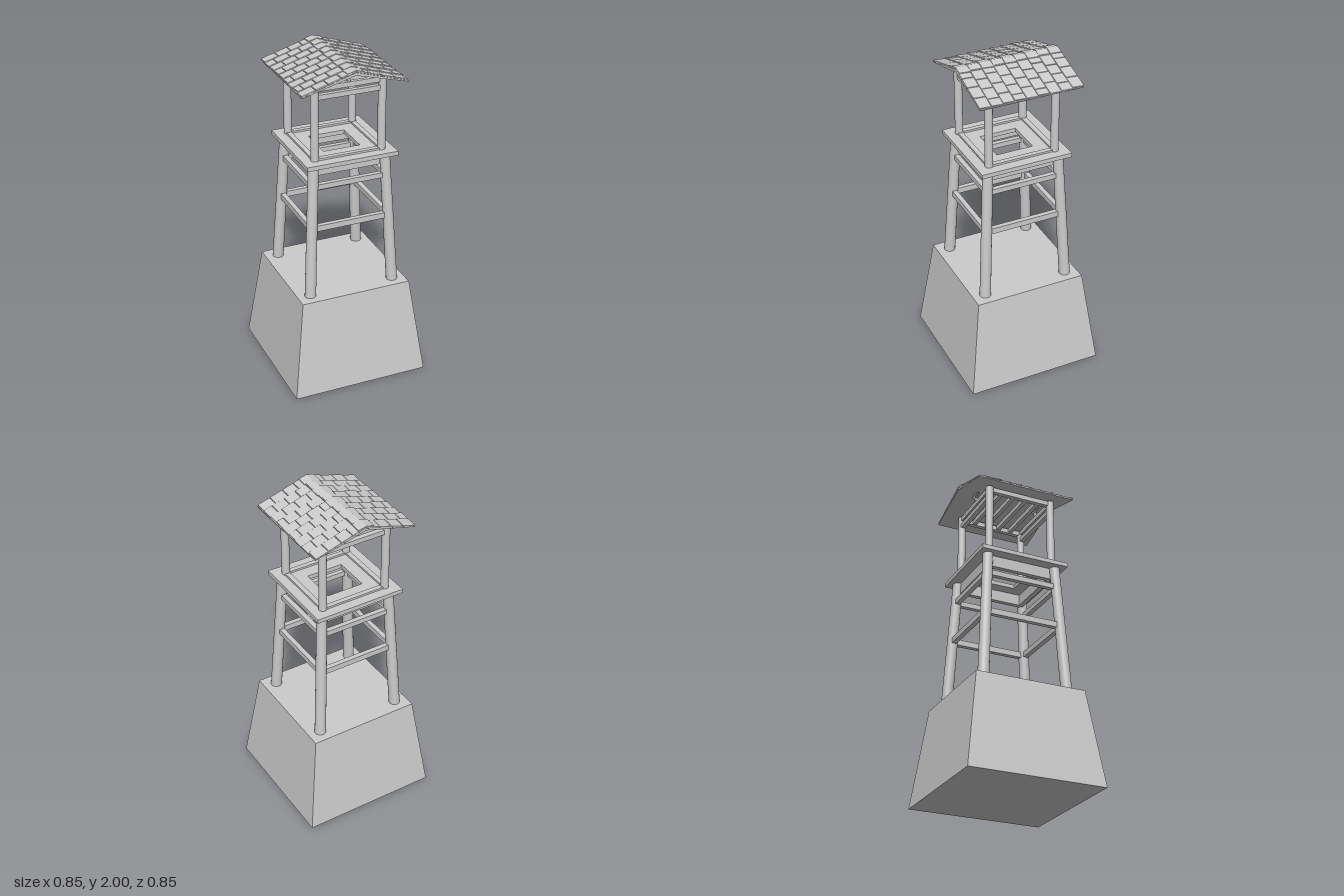
import * as THREE from 'three';
import { RoundedBoxGeometry } from 'three/addons/geometries/RoundedBoxGeometry.js';

const grey = new THREE.MeshStandardMaterial({ color: 0xcccccc });
const flat = new THREE.MeshStandardMaterial({ color: 0xcccccc, flatShading: true });

export function createModel() {
  const tower = new THREE.Group();
  tower.name = 'watchtower';

  const add = (name, geometry, x = 0, y = 0, z = 0, material = grey, parent = tower) => {
    const mesh = new THREE.Mesh(geometry, material);
    mesh.name = name;
    mesh.position.set(x, y, z);
    parent.add(mesh);
    return mesh;
  };
  const box = (name, w, h, d, x, y, z) => add(name, new THREE.BoxGeometry(w, h, d), x, y, z);

  // Round pole between two points
  const pole = (name, a, b, rBottom, rTop) => {
    const dir = b.clone().sub(a);
    const mid = a.clone().add(b).multiplyScalar(0.5);
    const mesh = add(name, new THREE.CylinderGeometry(rTop, rBottom, dir.length(), 18), mid.x, mid.y, mid.z);
    mesh.quaternion.setFromUnitVectors(new THREE.Vector3(0, 1, 0), dir.normalize());
  };

  // Four bars forming a square ring around the tower
  const ring = (name, half, y, h, t) => {
    for (const s of [-1, 1]) {
      box(name, 2 * half, h, t, 0, y, s * half);
      box(name, t, h, 2 * half, s * half, y, 0);
    }
  };

  // Tapered square plinth
  const plinth = new THREE.CylinderGeometry(0.345 * Math.SQRT2, 0.425 * Math.SQRT2, 0.6, 4);
  plinth.rotateY(Math.PI / 4);
  add('plinth', plinth, 0, 0.3, 0, flat);

  // Leaning legs and upright roof posts
  const lean = (y) => 0.266 - 0.043 * (y - 0.6) / 0.83;
  const post = 0.208;
  for (const sx of [-1, 1]) {
    for (const sz of [-1, 1]) {
      const at = (r, y) => new THREE.Vector3(sx * r, y, sz * r);
      pole('leg', at(lean(0.59), 0.59), at(lean(1.43), 1.43), 0.034, 0.031);
      pole('roofPost', at(post, 1.44), at(post, 1.9), 0.024, 0.024);
    }
  }
  ring('lowerRail', lean(1.035), 1.035, 0.036, 0.03);
  ring('upperRail', lean(1.295), 1.295, 0.032, 0.03);

  // Platform with a square hatch, carried by deep beams
  const square = (path, r) => path.moveTo(-r, -r).lineTo(r, -r).lineTo(r, r).lineTo(-r, r).closePath();
  const floorShape = square(new THREE.Shape(), 0.284);
  floorShape.holes.push(square(new THREE.Path(), 0.115));
  const floor = new THREE.ExtrudeGeometry(floorShape, { depth: 0.026, bevelEnabled: false });
  floor.rotateX(-Math.PI / 2);
  add('platform', floor, 0, 1.425, 0);
  ring('platformBeam', 0.2, 1.39, 0.07, 0.03);
  ring('platformSill', post, 1.456, 0.014, 0.03);

  // Roof frame: wall plates, tie beams and ceiling joists
  for (const s of [-1, 1]) {
    box('wallPlate', 0.028, 0.03, 2 * post, s * post, 1.882, 0);
    box('tieBeam', 2 * post, 0.03, 0.028, 0, 1.835, s * post);
    box('kingPost', 0.016, 0.085, 0.016, 0, 1.935, s * post);
    for (const k of [-1, 1]) {
      const brace = box('kingPostBrace', 0.055, 0.01, 0.014, k * 0.024, 1.952, s * post);
      brace.rotation.z = k * 0.6;
    }
  }
  for (let i = 0; i < 6; i++) {
    box('ceilingJoist', 2 * post, 0.03, 0.024, 0, 1.885, -post + i * (2 * post / 5));
  }

  // Roof: thin tapering gable shell
  const roof = new THREE.Group();
  roof.name = 'roof';
  tower.add(roof);
  const eaveX = 0.322, ridgeY = 1.987, eaveY = 1.89, zBack = -0.325, length = 0.635;
  const chevron = (halfW, top, drop, thick, depth) => {
    const s = new THREE.Shape();
    s.moveTo(-halfW, top - drop).lineTo(0, top).lineTo(halfW, top - drop);
    s.lineTo(halfW, top - drop - 0.006).lineTo(0, top - thick).lineTo(-halfW, top - drop - 0.006).closePath();
    return new THREE.ExtrudeGeometry(s, { depth, bevelEnabled: false });
  };
  add('roofShell', chevron(eaveX, ridgeY, ridgeY - eaveY, 0.018, length), 0, 0, zBack, grey, roof);

  // Tiles in staggered courses, each lifted along its front edge
  let seed = 7;
  const jitter = () => {
    seed = (seed * 16807) % 2147483647;
    return seed / 2147483647 - 0.5;
  };
  const rows = 9, rowDepth = length / rows;
  const slope = Math.atan2(ridgeY - eaveY, eaveX);
  const slopeLength = Math.hypot(eaveX, ridgeY - eaveY);
  for (const side of [-1, 1]) {
    const plane = new THREE.Group();
    plane.name = 'tiledSlope';
    plane.position.set(0, ridgeY, 0);
    plane.rotation.set(0, side > 0 ? 0 : Math.PI, -side * slope);
    // Mirrored slope: turn about y first, then pitch down
    if (side < 0) plane.rotation.set(0, Math.PI, -slope, 'YXZ');
    roof.add(plane);
    for (let r = 0; r < rows; r++) {
      const z = zBack + (r + 0.5) * rowDepth;
      let start = 0;
      let end = r % 2 ? 0.045 : 0.09;
      while (start < slopeLength - 0.01) {
        const last = end > slopeLength - 0.035;
        if (last) end = slopeLength + jitter() * 0.01;
        const geometry = new RoundedBoxGeometry(end - start - 0.002, 0.009, rowDepth + 0.004, 2, 0.003);
        const tile = add('roofTile', geometry, (start + end) / 2, 0.003 + jitter() * 0.002, side * z, grey, plane);
        tile.rotation.x = -side * 0.07;
        tile.rotation.z = jitter() * 0.02;
        if (last) break;
        start = end;
        end += 0.08 + jitter() * 0.012;
      }
    }
  }

  // Folded ridge tiles over every course
  for (let r = 0; r < rows; r++) {
    const cap = chevron(r % 2 ? 0.042 : 0.05, 0, 0.013, 0.008, rowDepth);
    const mesh = add('ridgeTile', cap, 0, 1.996, zBack + r * rowDepth, grey, roof);
    mesh.rotation.x = -0.05;
  }
  return tower;
}
